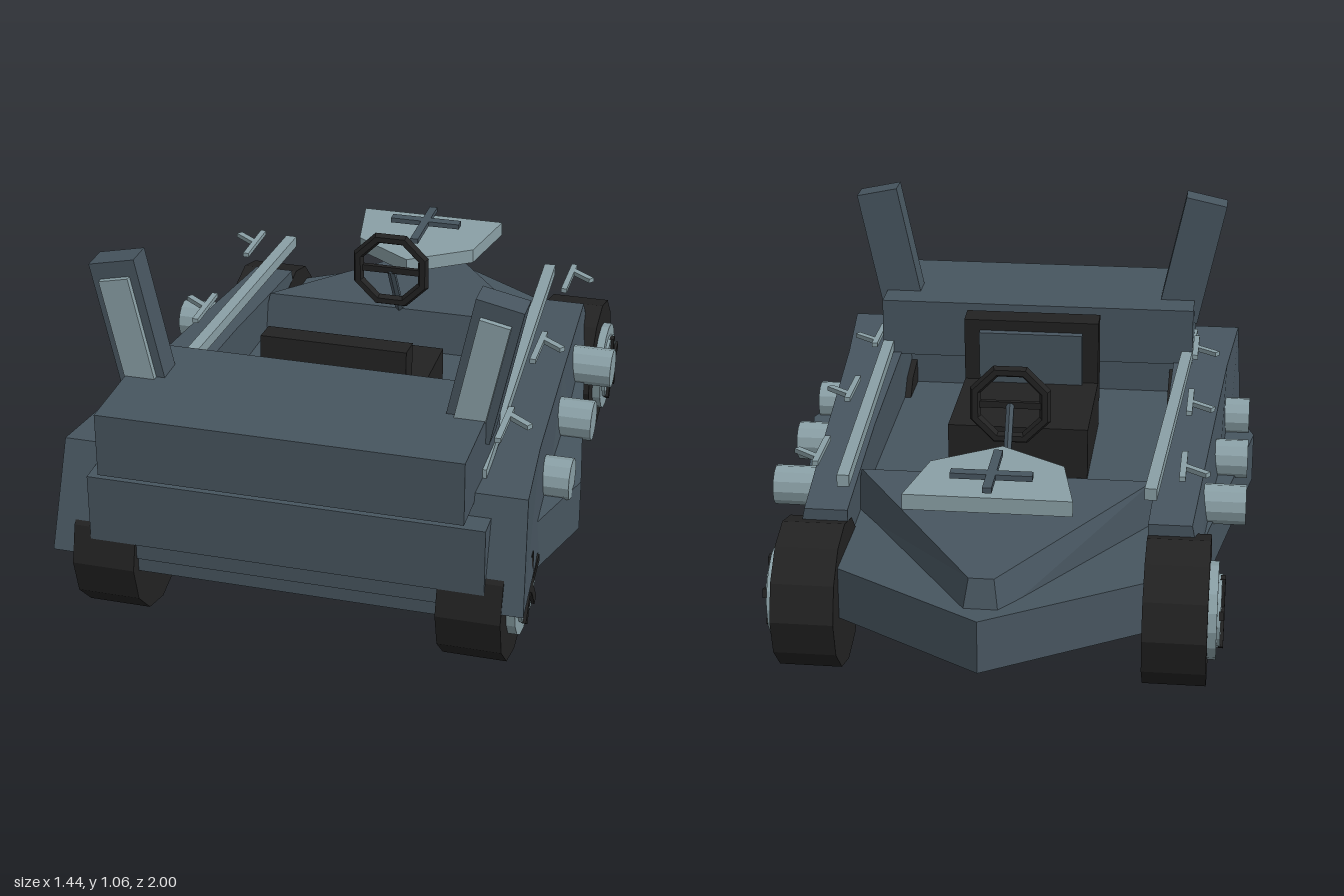
import * as THREE from 'three';

const mat = (name, color) => {
  const m = new THREE.MeshStandardMaterial({ color });
  m.name = name;
  return m;
};

export function createModel() {
  const model = new THREE.Group();
  const slate = mat('slate blue', 0x47555f);
  const steel = mat('pale steel', 0x8aa0a6);
  const black = mat('rubber black', 0x222222);

  const add = (name, geo, material, x = 0, y = 0, z = 0, parent = model) => {
    const m = new THREE.Mesh(geo.index ? geo.toNonIndexed() : geo, material);
    m.geometry.computeVertexNormals();
    m.name = name;
    m.position.set(x, y, z);
    parent.add(m);
    return m;
  };
  const box = (name, w, h, d, material, x, y, z, parent) =>
    add(name, new THREE.BoxGeometry(w, h, d), material, x, y, z, parent);
  const disc = (r, len, sides) => new THREE.CylinderGeometry(r, r, len, sides).rotateZ(Math.PI / 2);

  // Flat slab from a half outline of [x, z], mirrored across x
  const slab = (half, y0, y1) => {
    const pts = [...half, ...half.filter(p => p[0] > 0).reverse().map(([x, z]) => [-x, z])];
    const shape = new THREE.Shape(pts.map(([x, z]) => new THREE.Vector2(x, -z)));
    return new THREE.ExtrudeGeometry(shape, { depth: y1 - y0, bevelEnabled: false })
      .rotateX(-Math.PI / 2).translate(0, y0, 0);
  };

  // Solid through four-cornered sections ordered from +z to -z
  const loft = (sections, s = 1) => {
    const rings = sections.map(r => {
      const q = r.map(([x, y, z]) => [x * s, y, z]);
      return s < 0 ? q.reverse() : q;
    });
    const out = [];
    const quad = (a, b, c, d) => out.push(...a, ...b, ...c, ...a, ...c, ...d);
    quad(...rings[0]);
    quad(...[...rings[rings.length - 1]].reverse());
    for (let k = 0; k + 1 < rings.length; k++) {
      for (let i = 0; i < 4; i++) {
        const j = (i + 1) % 4;
        quad(rings[k][i], rings[k + 1][i], rings[k + 1][j], rings[k][j]);
      }
    }
    const g = new THREE.BufferGeometry();
    g.setAttribute('position', new THREE.Float32BufferAttribute(out, 3));
    return g;
  };

  // Hull floor and nose deck
  add('hullFloor', slab([[0, -1], [0.55, -0.64], [0.72, 0.4], [0.55, 0.94]], 0.195, 0.35), slate);
  add('noseDeck', loft([
    [[0.46, 0.33, -0.28], [0.43, 0.48, -0.31], [-0.43, 0.48, -0.31], [-0.46, 0.33, -0.28]],
    [[0.05, 0.33, -0.93], [0.035, 0.43, -0.9], [-0.035, 0.43, -0.9], [-0.05, 0.33, -0.93]],
  ]), slate);

  // Rear panel and raised trunk
  box('rearPanel', 1.12, 0.2, 0.2, slate, 0, 0.39, 0.86);
  box('rearSill', 0.9, 0.1, 0.2, slate, 0, 0.29, 0.85);
  box('trunk', 1.02, 0.185, 0.445, slate, 0, 0.6175, 0.7775);

  // Seat
  box('seatCushion', 0.43, 0.16, 0.45, black, 0, 0.43, 0.215);
  const back = new THREE.Group();
  back.name = 'seatBack';
  back.position.set(0, 0.575, 0.425);
  back.rotation.x = -0.07;
  model.add(back);
  box('seatBackFrame', 0.43, 0.29, 0.075, black, 0, 0, 0, back);
  box('seatBackPad', 0.33, 0.18, 0.025, slate, 0, 0.02, -0.048, back);

  // Steering wheel and column
  add('steeringWheel', new THREE.TorusGeometry(0.112, 0.018, 6, 8).rotateZ(Math.PI / 8),
    black, 0, 0.662, -0.205);
  const column = add('steeringColumn', new THREE.CylinderGeometry(0.013, 0.013, 0.23, 6),
    slate, 0, 0.565, -0.265);
  column.rotation.x = 0.56;
  box('steeringSpoke', 0.21, 0.02, 0.015, black, 0, 0.662, -0.205);

  // Nose shield with cross
  add('shield', slab([[0, -0.77], [0.235, -0.77], [0.19, -0.53], [0, -0.4]], 0.565, 0.61), steel);
  box('crossLong', 0.026, 0.016, 0.27, slate, 0, 0.632, -0.635);
  box('crossShort', 0.23, 0.016, 0.034, slate, 0, 0.632, -0.663);

  for (const s of [1, -1]) {
    // Side body, narrowing towards the nose
    add('sideBody', loft([
      [[0.67, 0.245, 0.97], [0.655, 0.55, 0.87], [0.45, 0.55, 0.87], [0.45, 0.245, 0.97]],
      [[0.64, 0.25, 0.55], [0.625, 0.53, 0.55], [0.45, 0.53, 0.55], [0.45, 0.25, 0.55]],
      [[0.615, 0.3, 0], [0.59, 0.495, 0], [0.445, 0.495, 0], [0.445, 0.3, 0]],
      [[0.58, 0.33, -0.55], [0.555, 0.453, -0.55], [0.43, 0.453, -0.55], [0.43, 0.33, -0.55]],
    ], s), slate);

    // Rail along the cockpit edge
    const rail = box('rail', 0.035, 0.035, 1.35, steel, s * 0.47, 0.553, 0.105);
    rail.rotation.y = s * 0.05;

    // Barbs: a bar with a slanted arm, slanted alike on both sides
    for (const z of [-0.44, 0.06, 0.55]) {
      box('barbBar', 0.018, 0.014, 0.19, steel, s * 0.522, 0.589, z);
      const arm = box('barbArm', 0.09, 0.014, 0.02, steel, s * 0.557, 0.589, z - 0.03);
      arm.rotation.y = -0.65;
    }

    // Round side lamps
    for (const z of [0.46, 0.105, -0.245])
      add('sideLamp', disc(0.06, 0.13, 12), steel, s * 0.638, 0.39, z);

    // Tail fins leaning outwards with pale inlays
    const fin = new THREE.Group();
    fin.name = 'tailFin';
    fin.position.set(s * 0.497, 0.845, 0.705);
    fin.rotation.z = -s * 0.21;
    model.add(fin);
    box('finBody', 0.134, 0.41, 0.085, slate, 0, 0, 0, fin);
    box('finInlay', 0.086, 0.34, 0.018, steel, 0, -0.012, 0.051, fin);

    // Wheels with hubs and five spokes
    for (const [name, z] of [['noseWheel', -0.595], ['tailWheel', 0.765]]) {
      const wheel = new THREE.Group();
      wheel.name = name;
      wheel.position.set(s * 0.52, 0.216, z);
      model.add(wheel);
      add('tyre', disc(0.215, 0.18, 12).rotateX(Math.PI / 2), black, 0, 0, 0, wheel);
      add('rim', disc(0.14, 0.03, 16), steel, s * 0.1, 0, 0, wheel);
      add('hub', disc(0.105, 0.03, 16), steel, s * 0.11, 0, 0, wheel);
      for (let i = 0; i < 5; i++) {
        const spoke = add('spoke', new THREE.BoxGeometry(0.014, 0.105, 0.026).translate(0, 0.0525, 0),
          black, s * 0.127, 0, 0, wheel);
        spoke.rotation.x = i * Math.PI * 0.4;
      }
    }
  }
  return model;
}
